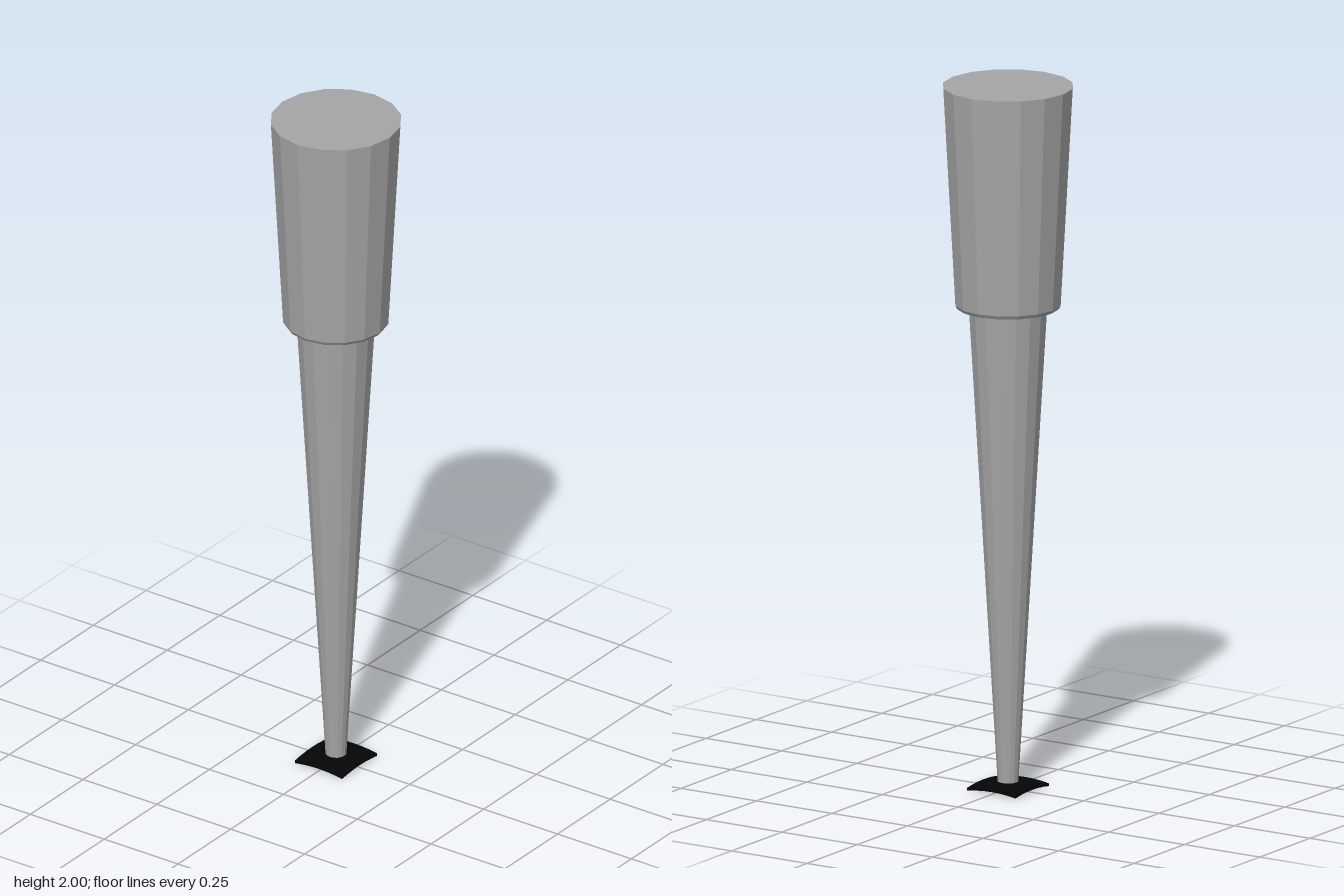
import * as THREE from 'three';

export function createModel() {
  const model = new THREE.Group();
  const grey = new THREE.MeshStandardMaterial({ color: 0xa6a6a6, flatShading: true });
  grey.name = 'grey';
  const black = new THREE.MeshStandardMaterial({ color: 0x050505, flatShading: true });
  black.name = 'black';
  const SIDES = 16;

  const add = (name, geometry, material) => {
    const mesh = new THREE.Mesh(geometry, material);
    mesh.name = name;
    model.add(mesh);
  };
  const turned = (points) =>
    new THREE.LatheGeometry(points.map(([r, y]) => new THREE.Vector2(r, y)), SIDES);

  // Wide tapered head with a slight bevel on its lower rim
  add('head', turned([[0, 1.37], [0.142, 1.37], [0.148, 1.38], [0.182, 2], [0, 2]]), grey);

  // Long tapered stem
  add('stem', turned([[0, 0.015], [0.029, 0.015], [0.11, 1.372]]), grey);

  // Thin square foot plate, arched down towards its corners
  const foot = new THREE.BoxGeometry(0.166, 0.008, 0.16, 6, 1, 6);
  const p = foot.attributes.position;
  for (let i = 0; i < p.count; i++) {
    const u = p.getX(i) / 0.083, v = p.getZ(i) / 0.08;
    p.setY(i, p.getY(i) + 0.004 + 0.007 * (2 - u * u - v * v));
  }
  foot.computeVertexNormals();
  add('footPlate', foot, black);

  return model;
}
